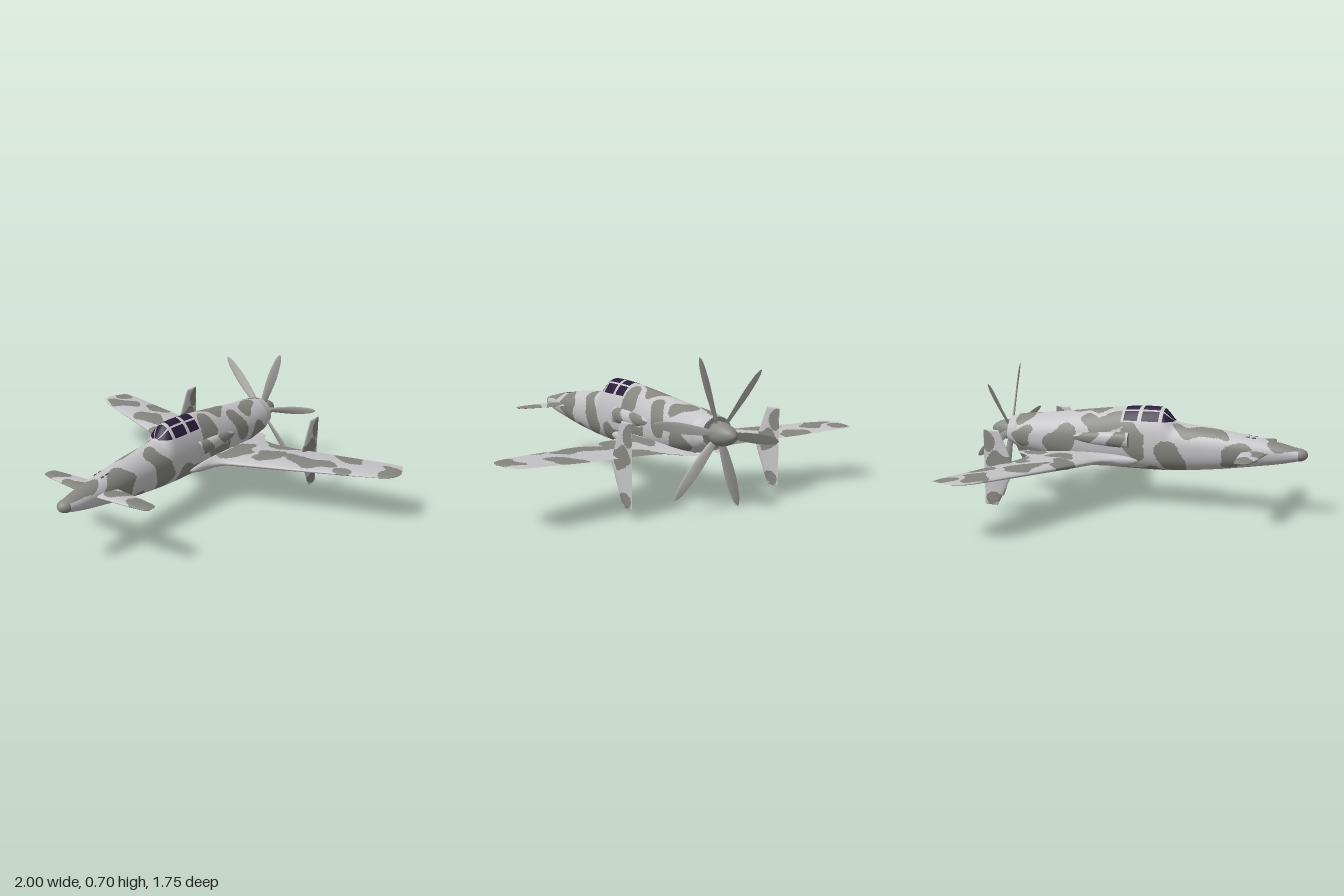
import * as THREE from 'three';

const mat = (name, color, side = THREE.FrontSide) => {
  const m = new THREE.MeshStandardMaterial({ color, side });
  m.name = name;
  return m;
};
const V = (x, y, z) => new THREE.Vector3(x, y, z);

// Smooth, overshoot-free interpolation of table rows [key, a, b, ...]
function interp(rows, t) {
  const n = rows.length;
  let i = 0;
  while (i < n - 2 && t > rows[i + 1][0]) i++;
  const h = rows[i + 1][0] - rows[i][0];
  const s = THREE.MathUtils.clamp((t - rows[i][0]) / h, 0, 1);
  return rows[0].slice(1).map((_, k) => {
    const val = (j) => rows[j][k + 1];
    const slope = (j) => (val(j + 1) - val(j)) / (rows[j + 1][0] - rows[j][0]);
    const tangent = (j) => {
      if (j === 0) return slope(0);
      if (j === n - 1) return slope(n - 2);
      const a = slope(j - 1), b = slope(j);
      return a * b <= 0 ? 0 : (2 * a * b) / (a + b);
    };
    const s2 = s * s, s3 = s2 * s;
    return val(i) * (2 * s3 - 3 * s2 + 1) + h * tangent(i) * (s3 - 2 * s2 + s)
      + val(i + 1) * (3 * s2 - 2 * s3) + h * tangent(i + 1) * (s3 - s2);
  });
}

// Camouflage test: wavy ellipses [a, b, radiusA, radiusB, rotation]
const camo = (blobs) => (a, b) => {
  const p = a + 0.018 * Math.sin(31 * b + 9 * a) + 0.006 * Math.sin(61 * b);
  const q = b + 0.018 * Math.sin(27 * a - 7 * b) + 0.006 * Math.sin(53 * a);
  return blobs.some(([ca, cb, ra, rb, rot = 0]) => {
    const c = Math.cos(rot), s = Math.sin(rot), x = p - ca, y = q - cb;
    return ((x * c + y * s) / ra) ** 2 + ((y * c - x * s) / rb) ** 2 < 1;
  });
};

// Surface over (u, v) with outward faces; each triangle takes material 0 or 1
function surface(name, nu, nv, point, materials, isDark = () => false, closed = false) {
  const cols = closed ? nv : nv + 1, pos = [], lists = [[], []], centre = V(0, 0, 0);
  for (let i = 0; i <= nu; i++)
    for (let j = 0; j < cols; j++) {
      const p = point(i / nu, j / nv);
      pos.push(p.x, p.y, p.z);
      centre.add(p);
    }
  centre.divideScalar((nu + 1) * cols);
  const at = (k) => V(pos[3 * k], pos[3 * k + 1], pos[3 * k + 2]);
  let volume = 0;
  for (let i = 0; i < nu; i++)
    for (let j = 0; j < nv; j++) {
      const a = i * cols + j, b = i * cols + ((j + 1) % cols), c = b + cols, d = a + cols;
      // Alternate diagonals keep colour edges even
      const tris = (i + j) % 2
        ? [[a, b, c, 1 / 3, 2 / 3], [a, c, d, 2 / 3, 1 / 3]]
        : [[a, b, d, 1 / 3, 1 / 3], [b, c, d, 2 / 3, 2 / 3]];
      for (const [k, l, m, du, dv] of tris) {
        const mid = at(k).add(at(l)).add(at(m)).divideScalar(3);
        lists[isDark(mid, (j + dv) / nv, (i + du) / nu) ? 1 : 0].push(k, l, m);
        volume += at(k).sub(centre).dot(at(l).sub(centre).cross(at(m).sub(centre)));
      }
    }
  const index = [...lists[0], ...lists[1]];
  if (volume < 0)
    for (let k = 0; k < index.length; k += 3) [index[k], index[k + 1]] = [index[k + 1], index[k]];
  const g = new THREE.BufferGeometry();
  g.setAttribute('position', new THREE.Float32BufferAttribute(pos, 3));
  g.setIndex(index);
  g.computeVertexNormals();
  if (Array.isArray(materials)) {
    g.addGroup(0, lists[0].length, 0);
    g.addGroup(lists[0].length, lists[1].length, 1);
  }
  const mesh = new THREE.Mesh(g, materials);
  mesh.name = name;
  return mesh;
}

// Aerofoil surface from rows [span, leading, trailing, thickness, height]; place() orients it
function foil(name, rows, nu, nv, place, materials, isDark) {
  const s0 = rows[0][0], s1 = rows[rows.length - 1][0];
  return surface(name, nu, nv, (u, v) => {
    const s = s0 + (s1 - s0) * u, [le, te, th, h = 0] = interp(rows, s);
    const c = (1 + Math.cos(2 * Math.PI * v)) / 2;
    const t = Math.sign(0.5 - v) * (th / 2) * Math.sqrt(c) * (1 - c) / 0.385;
    return place(s, le + (te - le) * c, h + t);
  }, materials, isDark);
}

// Fuselage stations: z, top, bottom, half width
const BODY = [
  [-0.745, 0.43, 0.285, 0.083], [-0.7, 0.442, 0.265, 0.09], [-0.68, 0.446, 0.258, 0.105], [-0.49, 0.465, 0.22, 0.112],
  [-0.3, 0.49, 0.198, 0.112], [-0.08, 0.515, 0.193, 0.105], [0.08, 0.523, 0.193, 0.098],
  [0.125, 0.52, 0.194, 0.095], [0.2, 0.452, 0.198, 0.092], [0.4, 0.428, 0.218, 0.083],
  [0.6, 0.4, 0.247, 0.068], [0.74, 0.374, 0.27, 0.053], [0.83, 0.352, 0.29, 0.037],
];
const midY = (z) => 0.33 - 0.012 * z;
function bodyPoint(z, th, grow = 1) {
  const [top, bot, w] = interp(BODY, z), m = midY(z), c = Math.cos(th), s = Math.sin(th);
  const x = w * Math.sign(s) * Math.abs(s) ** (c < 0 ? 0.85 : 1.15);
  return V(x * grow, m + (c > 0 ? (top - m) * c : -(m - bot) * Math.abs(c) ** 0.9) * grow, z);
}

// Fuselage blobs are laid out as (z, distance round from the spine)
const BODY_BLOBS = [
  [0.75, 0, 0.1, 0.13], [0.53, 0.16, 0.09, 0.12, 0.3], [0.24, 0.16, 0.065, 0.13, 0.4], [0.02, 0.25, 0.11, 0.06],
  [-0.13, 0.1, 0.06, 0.07], [-0.23, 0.2, 0.08, 0.05], [-0.4, 0.13, 0.06, 0.075, 0.5], [-0.54, 0.04, 0.07, 0.05],
  [-0.66, -0.03, 0.06, 0.06], [-0.57, 0.23, 0.08, 0.07], [-0.27, 0, 0.1, 0.05], [0.35, -0.07, 0.16, 0.045],
  [0.53, -0.19, 0.09, 0.09], [0.2, -0.23, 0.08, 0.08], [0, -0.16, 0.07, 0.06], [-0.16, -0.1, 0.13, 0.045],
  [-0.42, -0.18, 0.08, 0.09], [-0.64, -0.18, 0.06, 0.07], [0.4, 0.32, 0.09, 0.06], [-0.35, 0.32, 0.13, 0.06],
  [-0.24, -0.27, 0.08, 0.05], [0.02, -0.33, 0.12, 0.05],
];
const WING_BLOBS = [
  [-0.94, -0.6, 0.06, 0.055], [-0.83, -0.5, 0.11, 0.055, -0.2], [-0.62, -0.6, 0.1, 0.07, 0.4],
  [-0.55, -0.41, 0.14, 0.06, 0.4], [-0.37, -0.29, 0.09, 0.06], [-0.32, -0.55, 0.13, 0.06, -0.5],
  [-0.22, -0.36, 0.06, 0.1, 0.3], [0.28, -0.56, 0.1, 0.06], [0.16, -0.32, 0.06, 0.13], [0.32, -0.37, 0.06, 0.11, 0.5],
  [0.53, -0.41, 0.15, 0.06, -0.1], [0.68, -0.59, 0.11, 0.06, 0.3], [0.95, -0.53, 0.06, 0.09], [0.75, -0.41, 0.06, 0.04],
  [-0.1, -0.55, 0.05, 0.07],
];
const WING = [
  [0.05, 0.04, -0.69, 0.07, 0.245], [0.1, 0, -0.67, 0.068, 0.246], [0.125, -0.1, -0.625, 0.064, 0.247],
  [0.17, -0.165, -0.585, 0.058, 0.248], [0.25, -0.2, -0.573, 0.053, 0.25], [0.6, -0.33, -0.615, 0.035, 0.263],
  [0.9, -0.432, -0.652, 0.02, 0.279], [0.95, -0.455, -0.655, 0.016, 0.281],
  [0.985, -0.485, -0.59, 0.01, 0.283], [1, -0.53, -0.545, 0.002, 0.284],
];
const CANARD = [
  [0, 0.69, 0.545, 0.022], [0.1, 0.68, 0.555, 0.02], [0.3, 0.657, 0.577, 0.014],
  [0.33, 0.648, 0.583, 0.01], [0.34, 0.625, 0.605, 0.002],
];
const FIN = [
  [0.04, -0.62, -0.69, 0], [0.045, -0.617, -0.69, 0.01], [0.22, -0.528, -0.69, 0.016], [0.235, -0.522, -0.69, 0.016],
  [0.25, -0.527, -0.69, 0.016], [0.423, -0.602, -0.69, 0.01], [0.428, -0.605, -0.69, 0],
];
const BLADE = [
  [0.03, 0.012, -0.012, 0.014], [0.1, 0.02, -0.02, 0.012], [0.22, 0.026, -0.026, 0.009],
  [0.32, 0.019, -0.019, 0.006], [0.36, 0.009, -0.009, 0.003], [0.371, 0.001, -0.001, 0.001],
];

export function createModel() {
  const model = new THREE.Group();
  model.name = 'pusherAircraft';
  const light = mat('light grey', 0xc4c4c6), dark = mat('olive grey', 0x858580);
  const metal = mat('metal grey', 0x8a8a86), bladeGrey = mat('blade grey', 0xa9a9a6);
  const gunGrey = mat('gun grey', 0x555553), glass = mat('canopy glass', 0x281b3a, THREE.DoubleSide);
  const paint = [light, dark];
  const add = (mesh, name, x = 0, y = 0, z = 0) => {
    if (name) mesh.name = name;
    mesh.position.set(x, y, z);
    model.add(mesh);
    return mesh;
  };

  // Fuselage, with the canopy frame left light
  const bodyCamo = camo(BODY_BLOBS);
  add(surface('fuselage', 210, 104, (u, v) => bodyPoint(-0.745 + 1.575 * u, 2 * Math.PI * (v - 0.5)), paint,
    (p, v) => !(p.y > 0.445 && p.z > -0.085 && p.z < 0.2) && bodyCamo(p.z, 2 * Math.PI * (v - 0.5) * 0.11), true));
  const nose = new THREE.SphereGeometry(1, 32, 12, 0, Math.PI * 2, 0, Math.PI / 2).rotateX(Math.PI / 2);
  add(new THREE.Mesh(nose, metal), 'noseCap', 0, 0.321, 0.828).scale.set(0.0365, 0.032, 0.045);
  const tail = new THREE.CircleGeometry(1, 40).rotateY(Math.PI);
  add(new THREE.Mesh(tail, metal), 'rearBulkhead', 0, 0.357, -0.744).scale.set(0.083, 0.073, 1);

  // Canopy panes laid just above the frame
  for (const [z0, z1] of [[-0.07, 0.005], [0.027, 0.118], [0.137, 0.19]])
    for (const [f0, f1] of [[-1, -0.56], [-0.46, 0.46], [0.56, 1]])
      add(surface('canopyPane', 12, 10, (u, v) => {
        const z = z0 + (z1 - z0) * u, m = midY(z), top = interp(BODY, z)[0];
        const limit = Math.acos(Math.min(1, (0.452 - m) / (top - m)));
        return bodyPoint(z, limit * (f0 + (f1 - f0) * v), 1.012);
      }, glass));

  const wingCamo = camo(WING_BLOBS);
  const finCamo = camo([[-0.6, 0.27, 0.07, 0.05], [-0.67, 0.36, 0.035, 0.06], [-0.64, 0.09, 0.04, 0.03]]);
  const canardCamo = camo([[0.29, 0.63, 0.08, 0.08], [0.12, 0.59, 0.06, 0.05], [-0.3, 0.6, 0.08, 0.07], [-0.13, 0.65, 0.07, 0.05]]);
  const scoopCamo = camo([[-0.1, 0.36, 0.04, 0.07], [-0.27, 0.35, 0.07, 0.04]]);
  for (const s of [1, -1]) {
    const side = s > 0 ? 'left' : 'right';
    // Main wing, nose wing and mid-span fin
    add(foil(side + 'Wing', WING, 120, 90, (a, z, t) => V(s * a, t, z), paint, (p) => wingCamo(p.x, p.z)));
    add(foil(side + 'NoseWing', CANARD, 50, 36, (a, z, t) => V(s * a, 0.327 + t, z), paint, (p) => canardCamo(p.x, p.z)));
    add(foil(side + 'Fin', FIN, 78, 36, (a, z, t) => V(s * 0.425 + t, a, z), paint, (p) => finCamo(p.z, p.y)));

    // Side intake tapering rearward, closed by a flat mouth
    add(surface(side + 'Intake', 50, 32, (u, v) => {
      const k = Math.sqrt(Math.max(0, 1 - u ** 2.4)), a = 2 * Math.PI * v;
      return V(s * (0.098 + 0.029 * k * Math.cos(a)), 0.354 + 0.04 * k * Math.sin(a), -0.03 - 0.34 * u);
    }, paint, (p) => scoopCamo(p.z, p.y), true));
    add(new THREE.Mesh(new THREE.CircleGeometry(1, 32), dark), side + 'IntakeMouth', s * 0.098, 0.354, -0.031)
      .scale.set(0.029, 0.04, 1);

    // Nose guns
    for (const z of [0.575, 0.605]) {
      const gun = new THREE.CapsuleGeometry(0.004, 0.014, 4, 10).rotateX(Math.PI / 2);
      add(new THREE.Mesh(gun, gunGrey), side + 'Gun', s * 0.023, bodyPoint(z, 0.36).y - 0.001, z);
    }
  }

  // Pusher propeller: spinner and six twisted blades
  const prop = new THREE.Group();
  const outline = [[0, 0], [0.056, 0], [0.057, 0.02], [0.053, 0.055], [0.044, 0.088], [0.03, 0.115], [0.014, 0.131], [0, 0.135]];
  const spinnerShape = new THREE.LatheGeometry(outline.map(([r, y]) => new THREE.Vector2(r, y)), 40);
  const spinner = new THREE.Mesh(spinnerShape.rotateX(-Math.PI / 2), metal);
  spinner.name = 'spinner';
  spinner.position.z = 0.02;
  prop.add(spinner);
  for (let i = 0; i < 6; i++) {
    const blade = foil('propellerBlade', BLADE, 28, 18, (r, c, t) => {
      const twist = 0.65 - 1.2 * r;
      return V(r, c * Math.cos(twist) - t * Math.sin(twist), c * Math.sin(twist) + t * Math.cos(twist));
    }, bladeGrey);
    blade.rotation.z = THREE.MathUtils.degToRad(11.5 + 60 * i);
    prop.add(blade);
  }
  add(prop, 'propeller', 0, 0.353, -0.76);
  return model;
}
